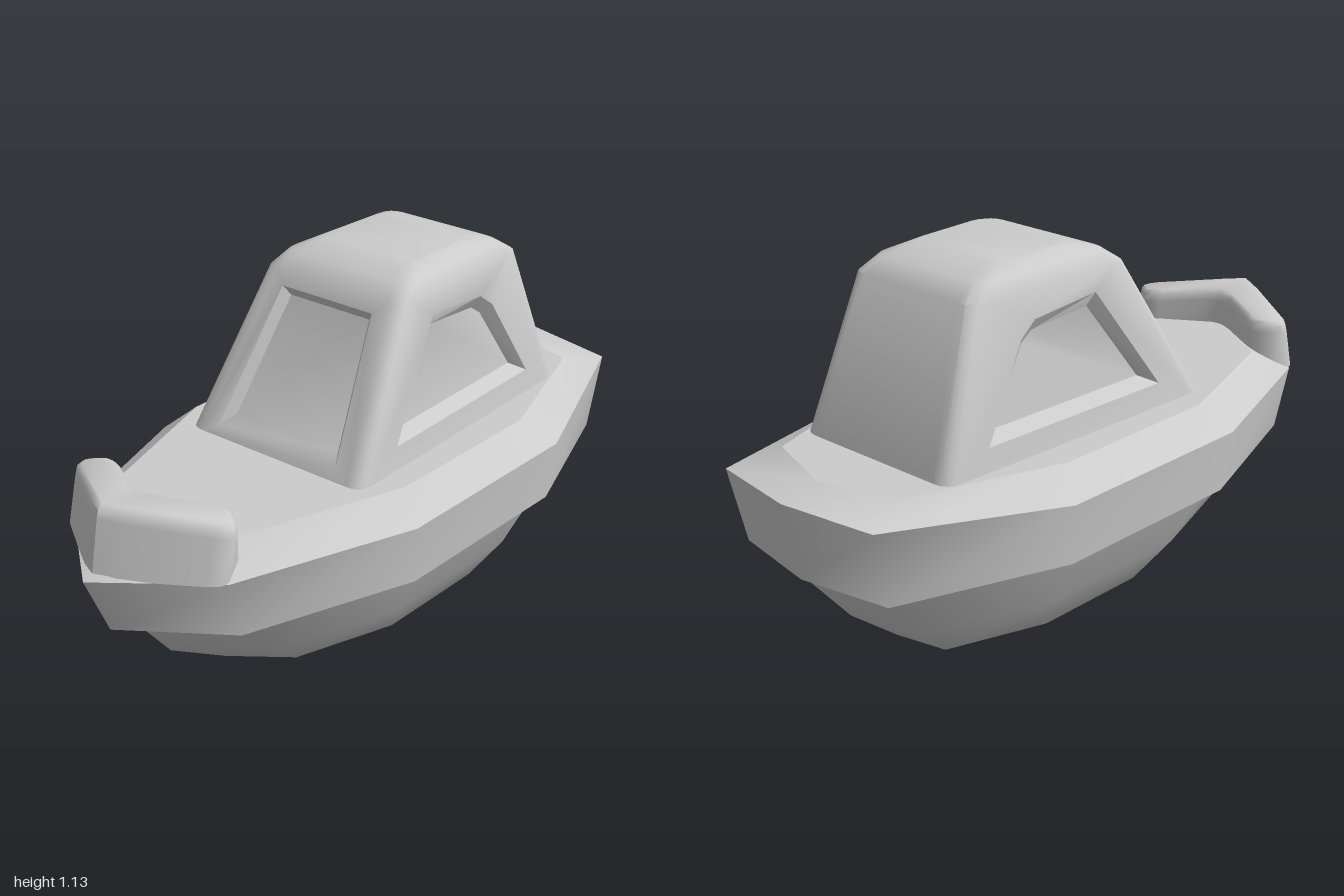
import * as THREE from 'three';
import { mergeGeometries, toCreasedNormals } from 'three/addons/utils/BufferGeometryUtils.js';

const material = new THREE.MeshStandardMaterial({ color: 0xcccccc });

function geometryFrom(points, index) {
  const g = new THREE.BufferGeometry();
  g.setAttribute('position', new THREE.Float32BufferAttribute(points.flat(), 3));
  g.setIndex(index);
  g.computeVertexNormals();
  return g;
}

// Skin between closed rings listed from low to high; skip(i) leaves gaps
function loft(rings, skip = () => false) {
  const n = rings[0].length, index = [];
  for (let r = 0; r < rings.length - 1; r++) {
    for (let i = 0; i < n; i++) {
      if (skip(i)) continue;
      const j = (i + 1) % n, a = r * n, b = a + n;
      index.push(a + i, a + j, b + j, a + i, b + j, b + i);
    }
  }
  return geometryFrom(rings.flat(), index);
}

// Flat lid over a ring
function cap(ring, down = false) {
  const contour = ring.map(p => new THREE.Vector2(p[0], -p[2]));
  const faces = THREE.ShapeUtils.triangulateShape(contour, []);
  return geometryFrom(ring, faces.flatMap(f => (down ? [f[0], f[2], f[1]] : f)));
}

// Complete a half outline that starts and ends on the centre line
const mirror = half => [...half, ...half.slice(1, -1).reverse().map(([x, ...rest]) => [-x, ...rest])];
const atHeight = (half, y) => mirror(half.map(([x, z]) => [x, y, z]));

function strip(...geometries) {
  const g = mergeGeometries(geometries.map(k => {
    const flat = k.index ? k.toNonIndexed() : k;
    flat.deleteAttribute('uv');
    return flat;
  }));
  return g;
}

function mesh(name, geometry) {
  const m = new THREE.Mesh(geometry, material);
  m.name = name;
  return m;
}

function makeHull() {
  const plan = [[0, 1], [0.61, 0.78], [1, 0.24], [1, -0.42], [0.61, -0.94], [0, -1]];
  // y, half width, centre z, half length
  const levels = [[0, 0.135, -0.09, 0.3], [0.085, 0.26, -0.065, 0.565], [0.21, 0.345, -0.04, 0.75], [0.38, 0.42, -0.03, 0.88]];
  const rings = levels.map(([y, w, c, l]) => atHeight(plan.map(([x, z]) => [x * w, c + z * l]), y));
  return mesh('hull', strip(loft(rings), cap(rings[0], true)));
}

function makeGunwale() {
  const low = atHeight([[0, 0.92], [0.28, 0.72], [0.455, 0.22], [0.455, -0.41], [0.28, -0.9], [0, -0.95]], 0.38);
  const edge = mirror([[0, 0.56, 1], [0.29, 0.56, 0.77], [0.475, 0.56, 0.24], [0.475, 0.56, -0.42], [0.29, 0.605, -0.95], [0, 0.612, -1]]);
  const deck = atHeight([[0, 0.79], [0.24, 0.64], [0.39, 0.19], [0.39, -0.35], [0.24, -0.8], [0, -0.88]], 0.635);
  const group = new THREE.Group();
  group.name = 'gunwaleAndDeck';
  group.add(mesh('rubbingBand', strip(loft([low, edge]), cap(low, true))));
  group.add(mesh('deckSlope', loft([edge, deck])), mesh('deck', cap(deck)));
  return group;
}

// V-shaped raised block that follows the bow
function makeBowBulwark() {
  const plan = [[0, 0.94], [0.06, 0.91], [0.255, 0.785], [0.28, 0.76], [0.285, 0.735], [0.265, 0.71],
    [0.23, 0.685], [0.2, 0.682], [0.17, 0.695], [0.05, 0.77], [0, 0.78]];
  const ring = (lift, inset, lean) => mirror(plan.map(([x, z]) => {
    const sx = Math.min(x, 0.22), sz = 0.865 - sx * 0.62;
    const forward = z > sz ? lean : 0;
    return [x + (sx - x) * inset, lift === null ? 0.56 : 0.753 - 0.13 * x - lift - Math.max(0, sz - z) * 0.1,
      z + (sz - z) * inset + forward];
  }));
  const rings = [ring(null, 0, 0.03), ring(0.035, 0, 0), ring(0.012, 0.08, 0), ring(0, 0.28, 0)];
  return mesh('bowBulwark', toCreasedNormals(strip(loft(rings), cap(rings[3])), 0.9));
}

function makeCabin() {
  const base = 0.635, shoulder = 1.07;
  // Sloping wall planes
  const frontZ = y => 0.29 - 0.586 * (y - base);
  const backZ = y => -0.69 + 0.345 * (y - base);
  const sideX = (y, z) => 0.318 - 0.136 * (y - base) - 0.039 * (0.25 - z);

  // Rounded section, five points to a corner
  function section(y, side = 0, front = 0, back = 0) {
    const f = frontZ(y) - front, b = backZ(y) + back;
    const xf = sideX(y, f) - side, xb = sideX(y, b) - side;
    const corners = [[xf, f], [xb, b], [-xb, b], [-xf, f]].map(c => new THREE.Vector2(...c));
    return corners.flatMap((c, i) => {
      const toward = k => c.clone().add(corners[k % 4].clone().sub(c).setLength(0.05));
      return new THREE.QuadraticBezierCurve(toward(i + 3), c, toward(i + 1)).getPoints(4).map(p => [p.x, y, p.y]);
    });
  }
  const low = section(base), top = section(shoulder);
  const roof = [top, section(1.11, 0.02, 0.03, 0.045), section(1.135, 0.065, 0.095, 0.13)];
  const parts = [loft([low, top], i => i % 5 === 4), loft(roof), cap(roof[2])];

  // Wall with a recessed opening; place(a, y, depth) puts wall coordinates in space
  function wall(seg, flatten, place, outer, inner, depth) {
    const v = p => new THREE.Vector2(...p);
    const next = (seg + 1) % 20;
    const rim = [low[seg], low[next], top[next], top[seg]].map(p => new THREE.Vector2(flatten(p), p[1]));
    const hole = outer.map(v), pane = inner.map(v);
    if (THREE.ShapeUtils.isClockWise(hole)) { hole.reverse(); pane.reverse(); }
    const put = (shape, d) => {
      const g = new THREE.ShapeGeometry(shape), p = g.attributes.position;
      for (let i = 0; i < p.count; i++) p.setXYZ(i, ...place(p.getX(i), p.getY(i), d));
      return g;
    };
    const frame = new THREE.Shape(rim);
    frame.holes.push(new THREE.Path(hole));
    parts.push(put(frame, 0), put(new THREE.Shape(pane), depth));
    parts.push(loft([hole.map(p => place(p.x, p.y, 0)), pane.map(p => place(p.x, p.y, depth))]));
  }

  // Side windows
  const outer = [[0.115, 0.7], [-0.1, 1.01], [-0.33, 0.99], [-0.385, 0.95], [-0.535, 0.7]];
  const inner = [[0.06, 0.73], [-0.11, 0.968], [-0.32, 0.952], [-0.36, 0.925], [-0.485, 0.73]];
  for (const s of [1, -1]) {
    const turn = list => list.map(([z, y]) => [-s * z, y]);
    wall(s > 0 ? 4 : 14, p => -s * p[2], (a, y, d) => [s * (sideX(y, -s * a) - d), y, -s * a], turn(outer), turn(inner), 0.03);
  }

  // Windscreen
  const trapezoid = (wLow, yLow, wTop, yTop) => [[-wLow, yLow], [wLow, yLow], [wTop, yTop], [-wTop, yTop]];
  wall(19, p => p[0], (a, y, d) => [a, y, frontZ(y) - d],
    trapezoid(0.215, 0.665, 0.162, 1.035), trapezoid(0.188, 0.69, 0.142, 1.008), 0.03);

  // Open rear entrance with a deep interior
  const door = trapezoid(0.228, 0.645, 0.19, 1.035);
  wall(9, p => -p[0], (a, y, d) => [-a, y, backZ(y) + d], door, door, 0.39);

  return mesh('cabin', toCreasedNormals(strip(...parts), 0.7));
}

export function createModel() {
  const boat = new THREE.Group();
  boat.name = 'boat';
  boat.add(makeHull(), makeGunwale(), makeBowBulwark(), makeCabin());
  return boat;
}
